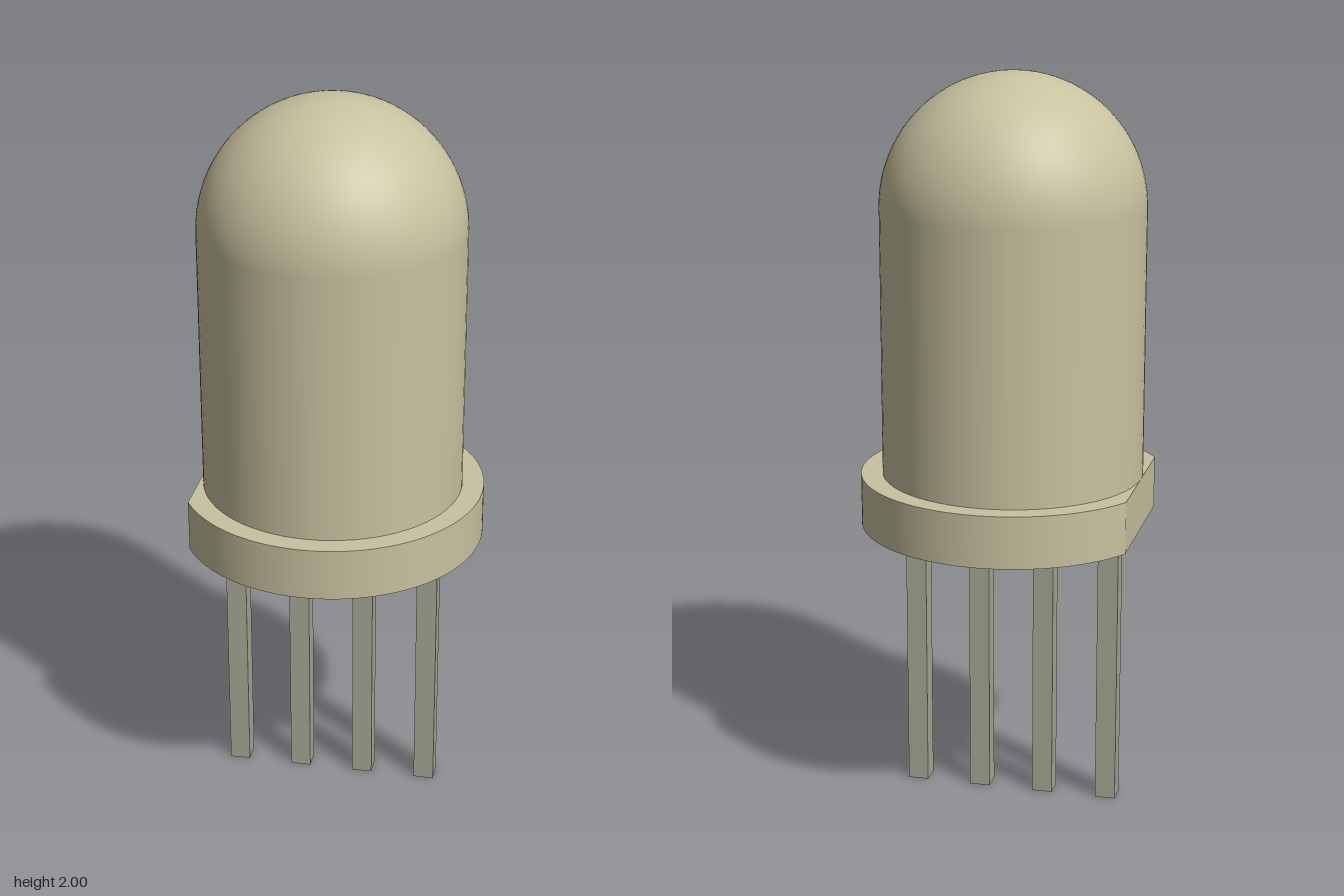
import * as THREE from 'three';
import { toCreasedNormals } from 'three/addons/utils/BufferGeometryUtils.js';

export function createModel() {
  const group = new THREE.Group();
  const bodyMat = new THREE.MeshStandardMaterial({ color: 0xc8c2a0 });
  bodyMat.name = 'warm beige lens';
  const legMat = new THREE.MeshStandardMaterial({ color: 0xa8a896 });
  legMat.name = 'grey metal';

  const add = (name, geometry, material, x, y) => {
    const mesh = new THREE.Mesh(geometry, material);
    mesh.name = name;
    mesh.position.set(x, y, 0);
    group.add(mesh);
  };

  const centreX = -0.03, lensR = 0.352, flangeR = 0.41;
  const flangeBottom = 0.785, flangeTop = 0.926;

  // Domed lens: straight wall running into a hemisphere
  const domeY = 2 - lensR;
  const profile = [new THREE.Vector2(lensR, flangeTop)];
  const steps = 24;
  for (let i = 0; i <= steps; i++) {
    const a = (i / steps) * Math.PI / 2;
    profile.push(new THREE.Vector2(i === steps ? 0 : lensR * Math.cos(a), domeY + lensR * Math.sin(a)));
  }
  add('lens', new THREE.LatheGeometry(profile, 72), bodyMat, centreX, 0);

  // Round flange with one flat side towards -x
  const a = Math.PI - Math.acos(lensR / flangeR);
  const outline = new THREE.Shape();
  outline.absarc(0, 0, flangeR, -a, a, false);
  outline.closePath();
  const flange = new THREE.ExtrudeGeometry(outline, {
    depth: flangeTop - flangeBottom, bevelEnabled: false, curveSegments: 64,
  });
  flange.rotateX(-Math.PI / 2);
  add('flange', toCreasedNormals(flange, 0.5), bodyMat, centreX, flangeBottom);

  // Four square legs in a row
  const legGeometry = new THREE.BoxGeometry(0.056, flangeBottom, 0.056);
  for (let i = 0; i < 4; i++) {
    add('leg' + (i + 1), legGeometry, legMat, -0.301 + i * 0.1795, flangeBottom / 2);
  }
  return group;
}
